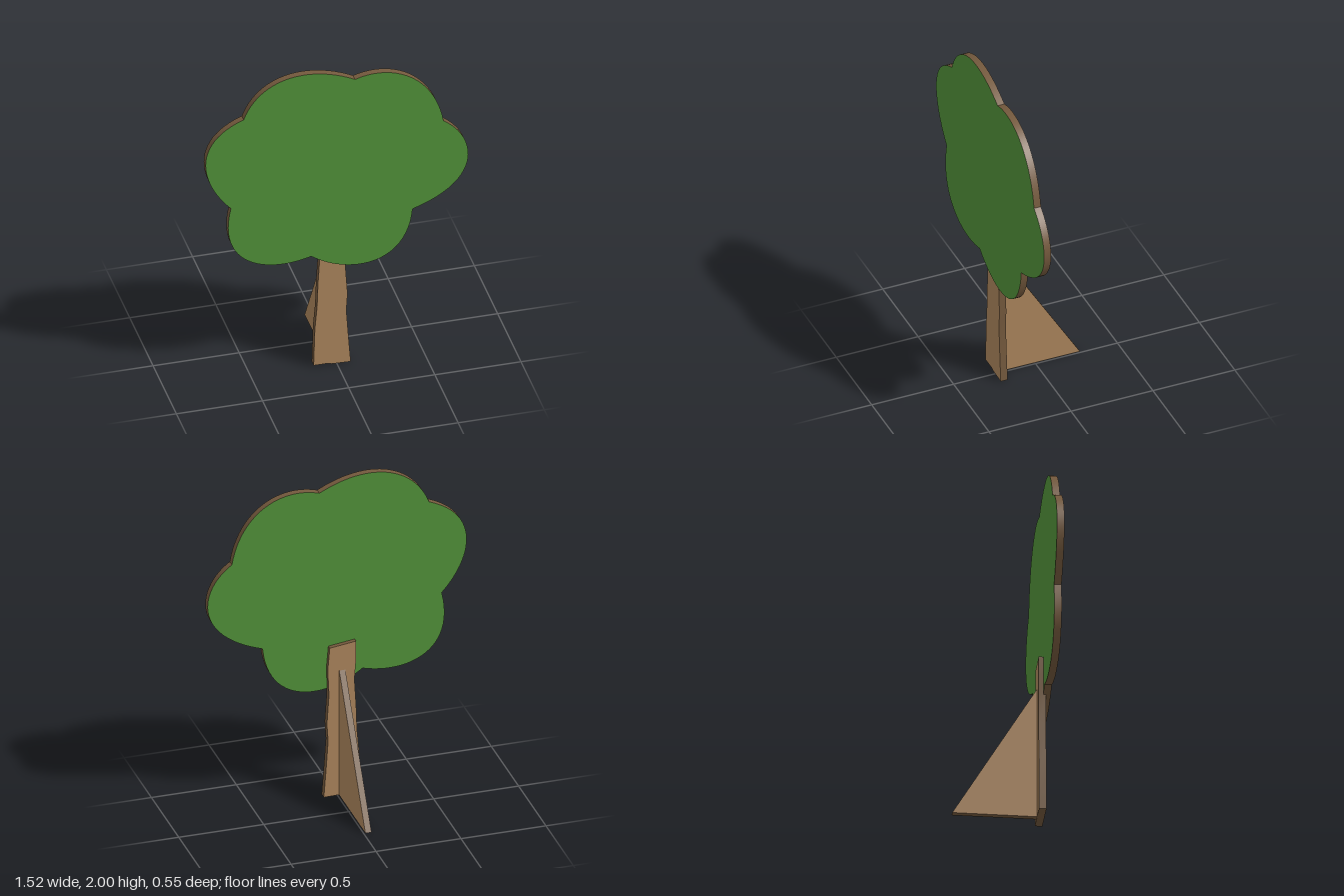
import * as THREE from 'three';
import { toCreasedNormals } from 'three/addons/utils/BufferGeometryUtils.js';

const material = (name, color) => {
  const m = new THREE.MeshStandardMaterial({ color });
  m.name = name;
  return m;
};

// Cuts a flat board from a shape: painted faces, bare darker edges
function board(name, shape, depth, face, edge) {
  const geometry = new THREE.ExtrudeGeometry(shape, { depth, bevelEnabled: false, curveSegments: 24 });
  const mesh = new THREE.Mesh(toCreasedNormals(geometry, 0.5), [face, edge]);
  mesh.name = name;
  return mesh;
}

const polygon = (points) => new THREE.Shape(points.map(([x, y]) => new THREE.Vector2(x, y)));

export function createModel() {
  const leafGreen = material('leaf green', 0x519139);
  const wood = material('light wood', 0xab855c);
  const woodEdge = material('dark wood edge', 0x74593d);
  const model = new THREE.Group();
  model.name = 'standingTree';

  // Canopy: six rounded lobes, each one bezier (two controls, then the end notch)
  const outline = new THREE.Shape();
  outline.moveTo(-0.548, 1.758);
  [
    [-0.46, 2.0, -0.19, 2.07, 0.098, 1.917],
    [0.32, 1.99, 0.56, 1.86, 0.612, 1.547],
    [0.8, 1.42, 0.86, 1.12, 0.432, 0.985],
    [0.4, 0.62, 0.07, 0.6, -0.156, 0.768],
    [-0.42, 0.69, -0.71, 0.8, -0.622, 1.171],
    [-0.8, 1.36, -0.86, 1.64, -0.548, 1.758],
  ].forEach((lobe) => outline.bezierCurveTo(...lobe));
  const canopy = board('canopy', outline, 0.042, leafGreen, woodEdge);
  canopy.position.z = 0.232;
  model.add(canopy);

  // Trunk: a slightly wavy plank let into the back of the canopy
  const trunk = board('trunk', polygon([
    [-0.135, 0.01], [-0.05, 0.01], [-0.03, 0.003], [0.08, 0],
    [0.068, 0.16], [0.055, 0.35], [0.062, 0.46], [0.05, 0.64], [0.057, 0.8], [0.045, 0.94],
    [-0.11, 0.96], [-0.11, 0.85], [-0.1, 0.72], [-0.11, 0.55], [-0.115, 0.4], [-0.128, 0.25],
  ]), 0.042, wood, woodEdge);
  trunk.position.z = 0.205;
  model.add(trunk);

  // Triangular prop behind the trunk; its profile lies in the z-y plane
  const prop = board('rearProp', polygon([[-0.275, 0], [0.204, 0], [0.204, 0.79]]), 0.036, wood, woodEdge);
  prop.rotation.y = -Math.PI / 2;
  prop.position.x = -0.01;
  model.add(prop);

  return model;
}
